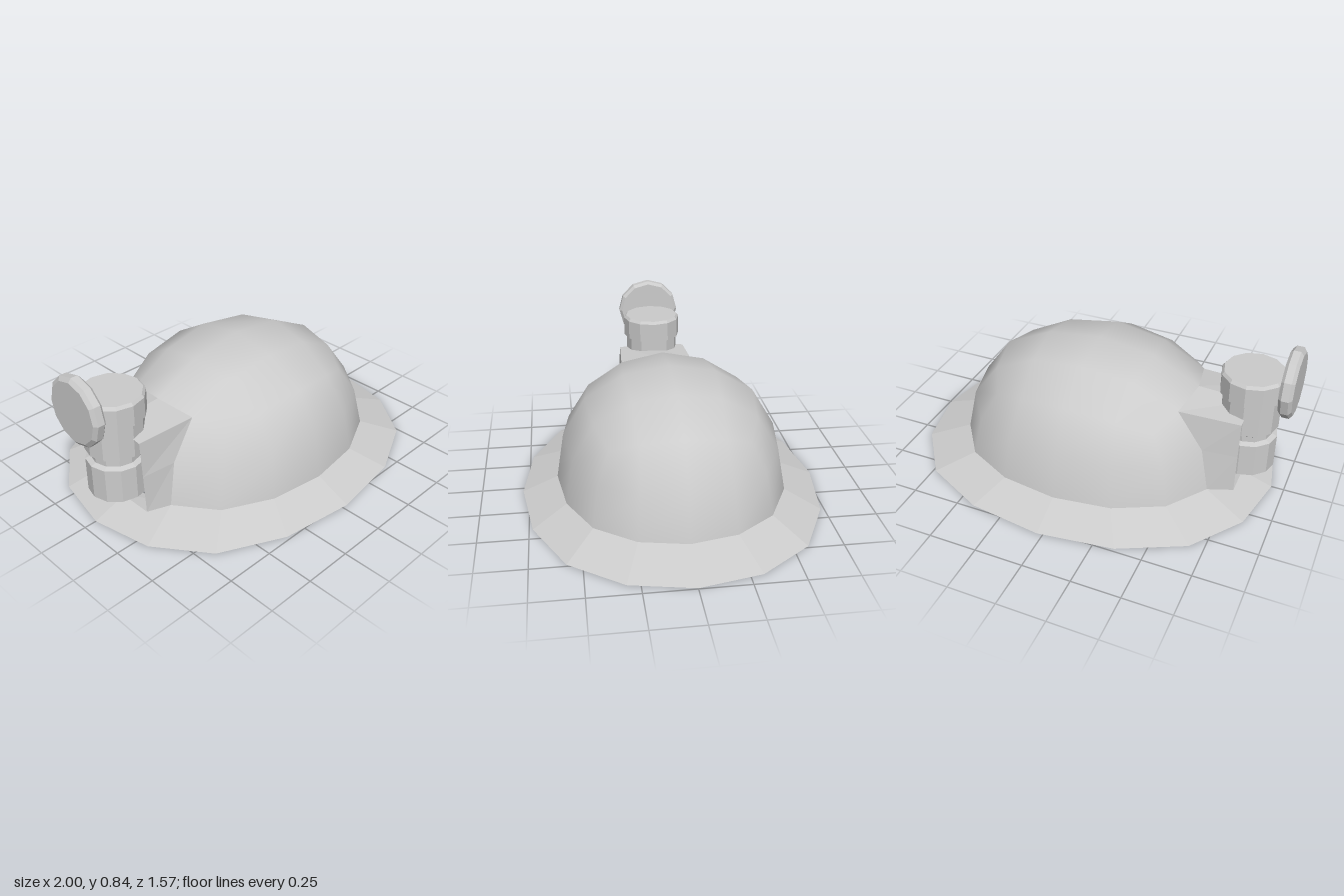
import * as THREE from 'three';
import { mergeVertices } from 'three/addons/utils/BufferGeometryUtils.js';

const smooth = new THREE.MeshStandardMaterial({ color: 0xcccccc, side: THREE.DoubleSide });
const faceted = new THREE.MeshStandardMaterial({ color: 0xcccccc, side: THREE.DoubleSide, flatShading: true });
const CENTRE = 0.03, RIM = 0.08;

// Rounded-cube grid point: i, j run -2..2 across one cube face, result is [u, v, n]
const GRID = {
  '00': [0, 0, 1], '10': [0.4, 0, 0.933], '20': [0.733, 0, 0.733],
  '11': [0.371, 0.371, 0.87], '21': [0.682, 0.344, 0.682], '22': [0.58, 0.58, 0.58],
};
function gridPoint(i, j) {
  const p = Math.abs(i), q = Math.abs(j);
  const g = GRID[`${Math.max(p, q)}${Math.min(p, q)}`];
  const [u, v] = p >= q ? [g[0], g[1]] : [g[1], g[0]];
  return [u * Math.sign(i), v * Math.sign(j), g[2]];
}

// Point on the dome for a cube face with normal n and axes a, b
function domePoint(a, b, n, i, j) {
  const [u, v, w] = gridPoint(i, j);
  const p = new THREE.Vector3().addScaledVector(a, u).addScaledVector(b, v).addScaledVector(n, w);
  return new THREE.Vector3(CENTRE + p.x * 0.735, RIM + p.y * 0.6, p.z * 0.6);
}

function quadMesh(name, quads, material, weld = false) {
  const pos = [];
  for (const [a, b, c, d] of quads) {
    for (const p of [a, b, c, a, c, d]) pos.push(p.x, p.y, p.z);
  }
  let geo = new THREE.BufferGeometry();
  geo.setAttribute('position', new THREE.Float32BufferAttribute(pos, 3));
  if (weld) geo = mergeVertices(geo, 1e-4);
  geo.computeVertexNormals();
  const mesh = new THREE.Mesh(geo, material);
  mesh.name = name;
  return mesh;
}

function lathe(name, points) {
  const geo = new THREE.LatheGeometry(points.map(([r, y]) => new THREE.Vector2(r, y)), 12);
  const mesh = new THREE.Mesh(geo, faceted);
  mesh.name = name;
  return mesh;
}

export function createModel() {
  const group = new THREE.Group();
  const X = new THREE.Vector3(1, 0, 0), Y = new THREE.Vector3(0, 1, 0), Z = new THREE.Vector3(0, 0, 1);

  // Dome: top face plus the upper halves of four side faces, open where the bracket joins
  const dome = [];
  const addFace = (a, b, n, jStart, skip) => {
    for (let i = -2; i < 2; i++) {
      for (let j = jStart; j < 2; j++) {
        if (skip && (i === -1 || i === 0)) continue;
        dome.push([[i, j], [i + 1, j], [i + 1, j + 1], [i, j + 1]].map(([s, t]) => domePoint(a, b, n, s, t)));
      }
    }
  };
  addFace(Z, X, Y, -2, false);
  const sides = [X, Z, X.clone().negate(), Z.clone().negate()];
  for (const n of sides) addFace(Y.clone().cross(n), Y, n, 0, n === sides[2]);
  group.add(quadMesh('dome', dome, smooth, true));

  // Brim: sixteen sloping panels from the dome edge to the ground
  const ring = [];
  for (const n of sides) {
    const a = Y.clone().cross(n);
    for (let i = -2; i < 2; i++) {
      const [u, , w] = gridPoint(i, 0);
      ring.push(new THREE.Vector3().addScaledVector(a, u).addScaledVector(n, w));
    }
  }
  // order the ring by angle so neighbouring panels meet
  ring.sort((p, q) => Math.atan2(p.z, p.x) - Math.atan2(q.z, q.x));
  const inner = ring.map((p) => new THREE.Vector3(CENTRE + p.x * 0.735, RIM, p.z * 0.6));
  const outer = ring.map((p) => new THREE.Vector3(CENTRE + p.x * 0.965, 0, p.z * 0.785));
  group.add(quadMesh('brim', ring.map((_, k) => {
    const m = (k + 1) % ring.length;
    return [inner[k], inner[m], outer[m], outer[k]];
  }), faceted));

  // Bracket: open-ended duct drawn out of the dome opening
  const n = sides[2], a = Y.clone().cross(n);
  const path = [[-1, 0], [-1, 1], [-1, 2], [0, 2], [1, 2], [1, 1], [1, 0], [0, 0]];
  const root = path.map(([i, j]) => domePoint(a, Y, n, i, j));
  const endY = [0.1, 0.3, 0.485], endZ = [0.215, 0.203, 0.19];
  const end = path.map(([i, j], k) => new THREE.Vector3(
    -0.785, i === 0 && j === 2 ? 0.505 : endY[j], Math.sign(root[k].z) * Math.abs(i) * endZ[j]));
  group.add(quadMesh('bracket', path.map((_, k) => {
    const m = (k + 1) % path.length;
    return [root[k], end[k], end[m], root[m]];
  }), faceted));

  // Valve: grooved post with a wider cap
  const post = lathe('valvePost', [
    [0, 0.15], [0.148, 0.15], [0.148, 0.33], [0.122, 0.34], [0.122, 0.37], [0.148, 0.39], [0.148, 0.57]]);
  const cap = lathe('valveCap', [
    [0.148, 0.5], [0.162, 0.57], [0.162, 0.675], [0.15, 0.69], [0, 0.69]]);
  cap.geometry = new THREE.LatheGeometry(
    [[0, 0.57], [0.162, 0.57], [0.162, 0.675], [0.15, 0.69], [0, 0.69]].map(([r, y]) => new THREE.Vector2(r, y)), 12);
  for (const part of [post, cap]) {
    part.position.x = -0.78;
    group.add(part);
  }

  // Knob: bevelled disc standing beside the cap
  const knob = lathe('valveKnob', [[0, 0], [0.155, 0], [0.175, 0.015], [0.175, 0.05], [0.16, 0.065], [0, 0.065]]);
  knob.rotation.z = -Math.PI / 2;
  knob.position.set(-1, 0.665, 0);
  group.add(knob);

  return group;
}
